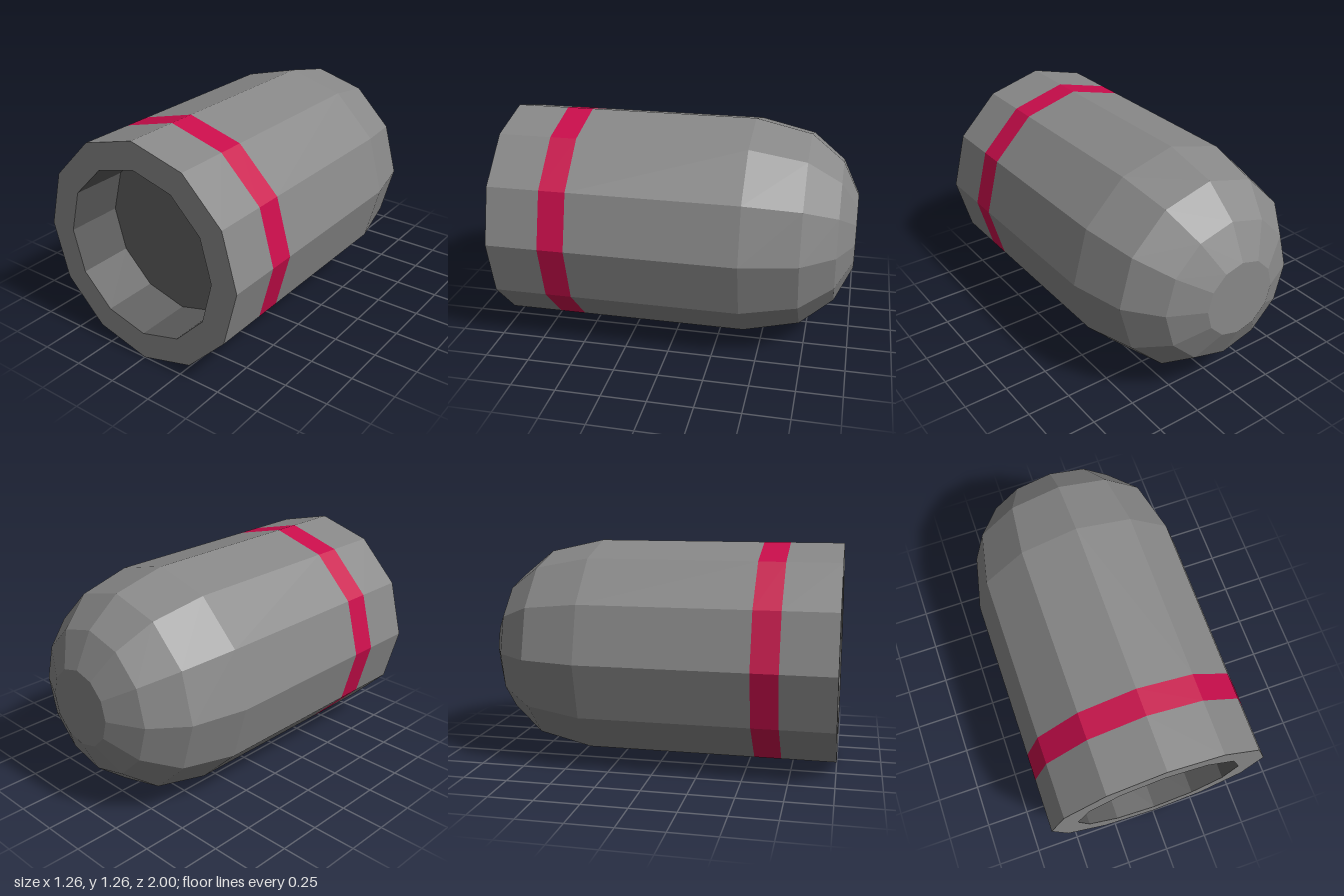
import * as THREE from 'three';

const SIDES = 12;
const R = 0.631; // outer radius
const HOLE = 0.477; // socket radius

const shellGrey = new THREE.MeshStandardMaterial({ color: 0x888888 });
shellGrey.name = 'shellGrey';
const socketGrey = new THREE.MeshStandardMaterial({ color: 0x5f5f5f });
socketGrey.name = 'socketGrey';
const bandCrimson = new THREE.MeshStandardMaterial({ color: 0xc90d4b });
bandCrimson.name = 'bandCrimson';

// Faceted solid of revolution around z from [radius, z] pairs
function turned(name, profile, material) {
  const points = profile.map(([r, z]) => new THREE.Vector2(r, z));
  const geometry = new THREE.LatheGeometry(points, SIDES).toNonIndexed();
  geometry.rotateX(Math.PI / 2);
  geometry.computeVertexNormals(); // unshared corners give flat facets
  const mesh = new THREE.Mesh(geometry, material);
  mesh.name = name;
  mesh.position.y = R;
  return mesh;
}

export function createModel() {
  const group = new THREE.Group();
  group.name = 'capsule';
  group.add(
    // Rounded rear end running into the straight barrel
    turned('rearShell', [[0, -1], [0.216, -1], [0.41, -0.905], [0.56, -0.72], [R, -0.405], [R, 0.55]], shellGrey),
    // Coloured stripe flush with the barrel
    turned('stripe', [[R, 0.55], [R, 0.7]], bandCrimson),
    // Front collar with its flat rim
    turned('frontCollar', [[R, 0.7], [R, 1], [HOLE, 1]], shellGrey),
    // Recessed socket: wall and floor
    turned('socket', [[HOLE, 1], [HOLE, 0.68], [0, 0.68]], socketGrey),
  );
  return group;
}
